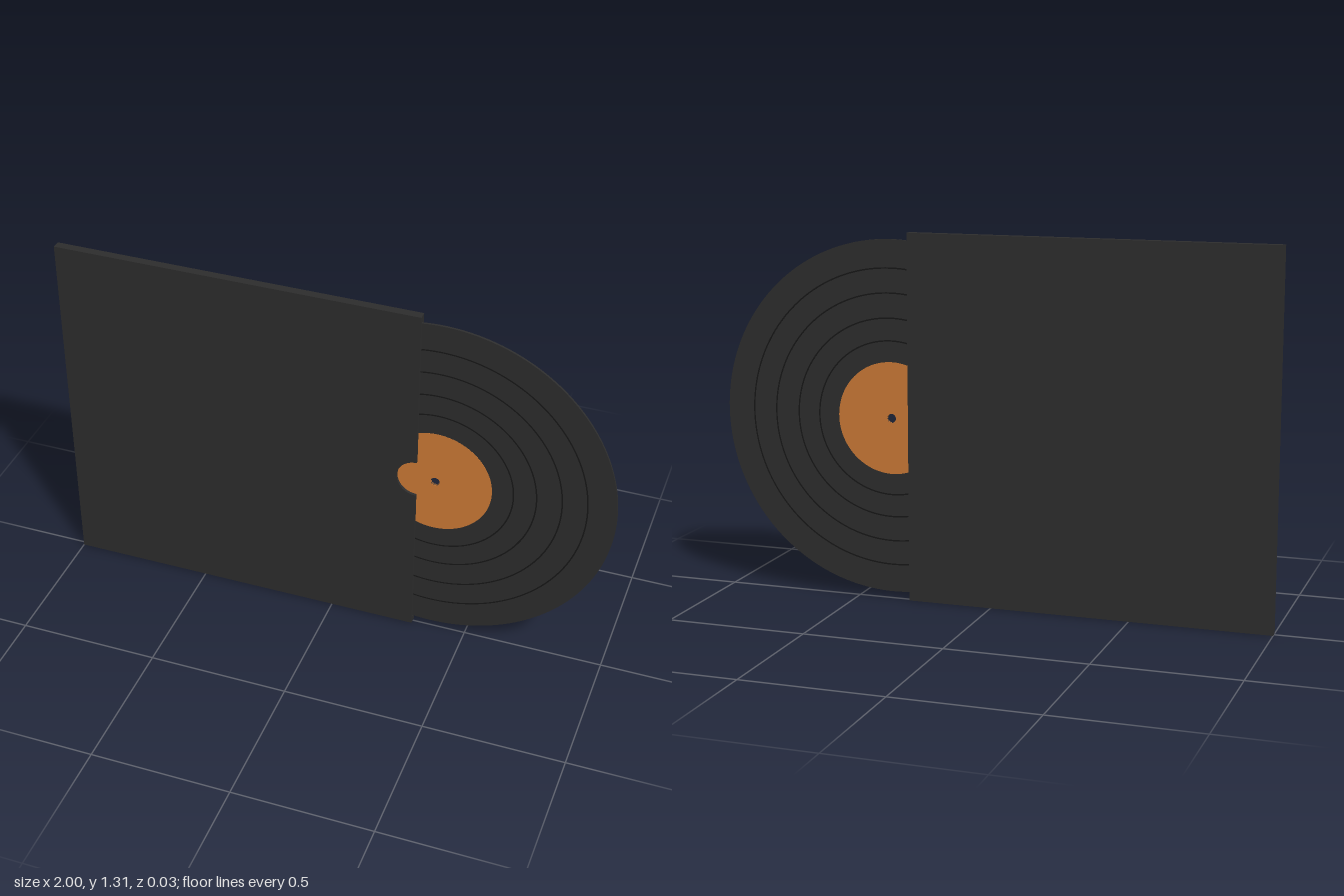
import * as THREE from 'three';

const W = 1.305, H = 1.31, T = 0.03, WALL = 0.01; // sleeve size and card thickness
const LEFT = -1, RIGHT = LEFT + W, MID = H / 2;
const DISC_X = 0.37, DISC_R = 0.63, DISC_T = 0.008, HOLE_R = 0.016;

function material(name, color) {
  const m = new THREE.MeshStandardMaterial({ color });
  m.name = name;
  return m;
}

// Flat ring with real thickness, centred on z = 0
function ring(outer, inner, depth) {
  const shape = new THREE.Shape().absarc(0, 0, outer, 0, Math.PI * 2, false);
  shape.holes.push(new THREE.Path().absarc(0, 0, inner, 0, Math.PI * 2, true));
  return new THREE.ExtrudeGeometry(shape, { depth, bevelEnabled: false, curveSegments: 96 })
    .translate(0, 0, -depth / 2);
}

export function createModel() {
  const card = material('charcoal card', 0x2d2d2d);
  const vinyl = material('black vinyl', 0x2d2d2d);
  const groove = material('groove black', 0x171717);
  const orange = material('orange label', 0xcd7a36);

  const model = new THREE.Group();
  model.name = 'recordInSleeve';
  const add = (parent, name, geometry, mat, x = 0, y = 0, z = 0) => {
    const mesh = new THREE.Mesh(geometry, mat);
    mesh.name = name;
    mesh.position.set(x, y, z);
    parent.add(mesh);
  };

  // Sleeve: front card with thumb notch, back card and three closed edges
  const sleeve = new THREE.Group();
  sleeve.name = 'sleeve';
  const front = new THREE.Shape();
  front.moveTo(LEFT, 0);
  front.lineTo(RIGHT, 0);
  front.lineTo(RIGHT, MID - 0.07);
  front.absarc(RIGHT, MID, 0.07, Math.PI * 1.5, Math.PI * 0.5, true);
  front.lineTo(RIGHT, H);
  front.lineTo(LEFT, H);
  front.closePath();
  add(sleeve, 'sleeveFront', new THREE.ExtrudeGeometry(front,
    { depth: WALL, bevelEnabled: false, curveSegments: 32 }), card, 0, 0, T / 2 - WALL);
  add(sleeve, 'sleeveBack', new THREE.BoxGeometry(W, H, WALL), card,
    LEFT + W / 2, MID, -T / 2 + WALL / 2);
  const gap = T - 2 * WALL, edge = 0.02;
  for (const [name, y] of [['sleeveBottomEdge', edge / 2], ['sleeveTopEdge', H - edge / 2]]) {
    add(sleeve, name, new THREE.BoxGeometry(W, edge, gap), card, LEFT + W / 2, y, 0);
  }
  add(sleeve, 'sleeveClosedEdge', new THREE.BoxGeometry(edge, H - 2 * edge, gap), card,
    LEFT + edge / 2, MID, 0);
  model.add(sleeve);

  // Record: disc, centre label and groove lines showing on both faces
  const record = new THREE.Group();
  record.name = 'record';
  record.position.set(DISC_X, MID, 0);
  add(record, 'disc', ring(DISC_R, HOLE_R, DISC_T), vinyl);
  add(record, 'label', ring(0.2, HOLE_R, DISC_T + 0.0012), orange);
  for (const r of [0.275, 0.355, 0.443, 0.53]) {
    add(record, 'grooveLine', ring(r + 0.0025, r - 0.0025, DISC_T + 0.001), groove);
  }
  model.add(record);

  return model;
}
